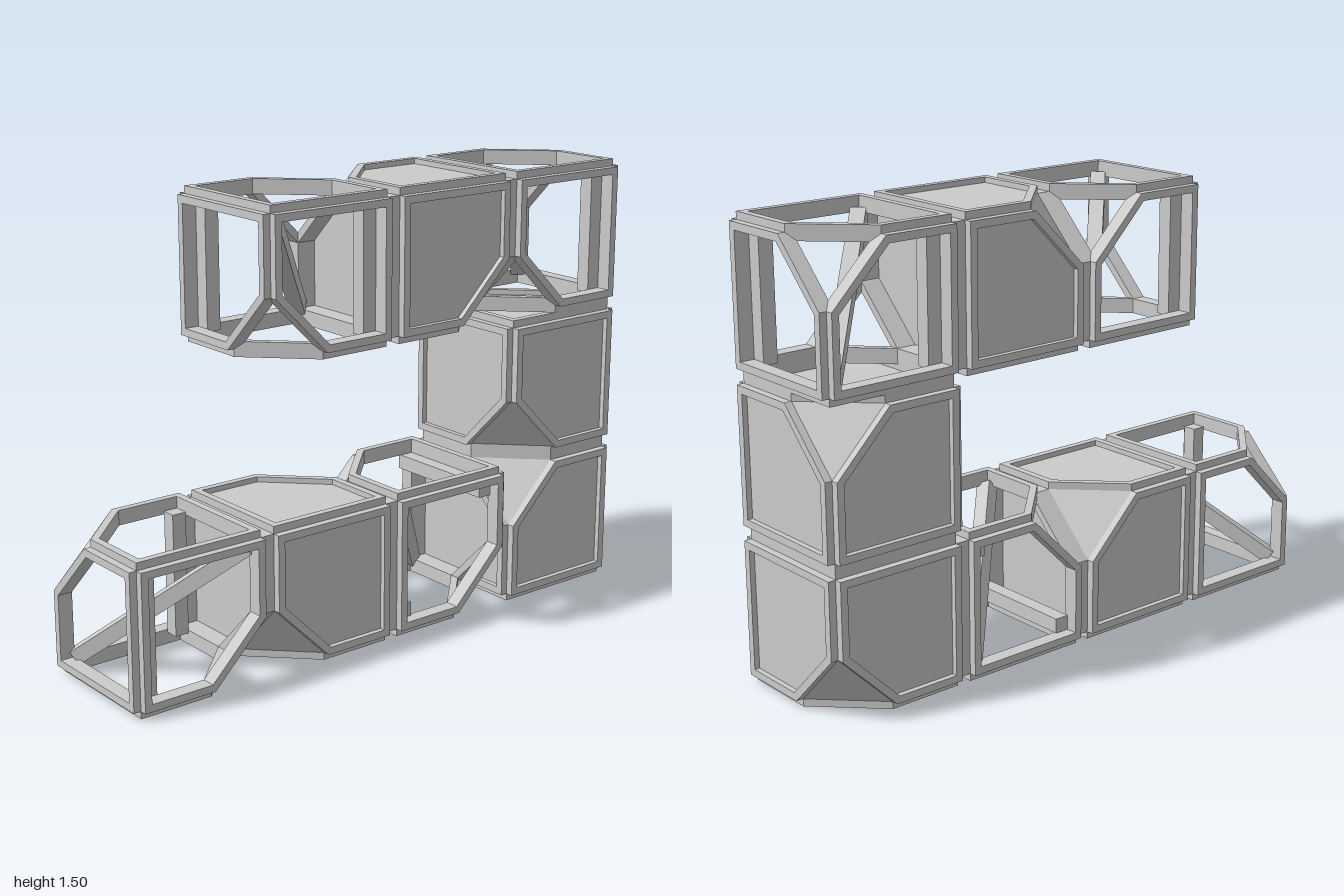
import * as THREE from 'three';

const material = new THREE.MeshStandardMaterial({ color: 0xcccccc, flatShading: true });
const panelMaterial = new THREE.MeshStandardMaterial({ color: 0xcccccc, flatShading: true, side: THREE.DoubleSide });
const DIAGONAL = new THREE.Vector3(1, 1, 1).normalize();
const FLIP = new THREE.Vector3(1, -1, 0).normalize();

// Square of half-width h with its (+,+) corner cut along x + y = cut
function outline(h, cut, Type) {
  return new Type([[-h, -h], [h, -h], [h, cut - h], [cut - h, h], [-h, h]]
    .map(([x, y]) => new THREE.Vector2(x, y)));
}

function extrude(shape, from, to) {
  return new THREE.ExtrudeGeometry(shape, { depth: to - from, bevelEnabled: false }).translate(0, 0, from);
}

const ring = outline(0.225, 0.255, THREE.Shape);
ring.holes.push(outline(0.2, 0.22, THREE.Path));
const frameGeometry = extrude(ring, 0.2, 0.25);
const panelGeometry = extrude(outline(0.201, 0.222, THREE.Shape), 0.2, 0.232);

// Triangle closing a cut corner
const cornerGeometry = new THREE.BufferGeometry();
cornerGeometry.setAttribute('position', new THREE.Float32BufferAttribute(
  [0.03, 0.225, 0.225, 0.225, 0.03, 0.225, 0.225, 0.225, 0.03], 3));
cornerGeometry.computeVertexNormals();

const strutGeometry = new THREE.BoxGeometry(0.05, 0.68, 0.05);
const postGeometry = new THREE.BoxGeometry(0.05, 0.42, 0.05);

function add(parent, name, geometry, mat = material) {
  const mesh = new THREE.Mesh(geometry, mat);
  mesh.name = name;
  parent.add(mesh);
  return mesh;
}

// Inner bracing: one body diagonal and two posts along y
function bracing() {
  const group = new THREE.Group();
  group.name = 'bracing';
  const along = new THREE.Vector3(1, -1, 1).normalize();
  const side = new THREE.Vector3(1, 0, -1).normalize();
  const basis = new THREE.Matrix4().makeBasis(side, along, side.clone().cross(along));
  add(group, 'diagonalStrut', strutGeometry).quaternion.setFromRotationMatrix(basis);
  for (const s of [1, -1]) add(group, 'post', postGeometry).position.set(0.175 * s, 0, -0.175 * s);
  return group;
}

// One cube with two opposite corners cut, at (+,+,+) and (-,-,-)
function cell(solid, postAxis) {
  const group = new THREE.Group();
  group.name = solid ? 'panelledCube' : 'openCube';
  for (const half of [0, 1]) {
    const side = new THREE.Group();
    side.name = 'threeFaces';
    side.quaternion.setFromAxisAngle(FLIP, half * Math.PI);
    for (let k = 0; k < 3; k++) {
      const face = new THREE.Group();
      face.name = 'face';
      face.quaternion.setFromAxisAngle(DIAGONAL, k * Math.PI * 2 / 3);
      add(face, 'faceFrame', frameGeometry);
      if (solid) add(face, 'facePanel', panelGeometry);
      side.add(face);
    }
    if (solid) add(side, 'cornerPanel', cornerGeometry, panelMaterial);
    group.add(side);
  }
  if (!solid) {
    const brace = bracing();
    if (postAxis === 'x') brace.quaternion.setFromAxisAngle(DIAGONAL, -Math.PI * 2 / 3);
    group.add(brace);
  }
  return group;
}

export function createModel() {
  const model = new THREE.Group();
  model.name = 'cubeChain';
  // y, z, solid, axis of the half turn, axis of the posts
  const cells = [
    [0.25, 0.75, false, 'x', 'y'],
    [0.25, 0.25, true, 'y'],
    [0.25, -0.25, false, 'x', 'x'],
    [0.25, -0.75, true, null],
    [0.75, -0.75, true, 'y'],
    [1.25, -0.75, false, 'y', 'y'],
    [1.25, -0.25, true, 'x'],
    [1.25, 0.25, false, 'y', 'y'],
  ];
  for (const [y, z, solid, turn, postAxis] of cells) {
    const cube = cell(solid, postAxis);
    cube.position.set(0, y, z);
    if (turn) cube.rotation[turn] = Math.PI;
    model.add(cube);
  }
  return model;
}
